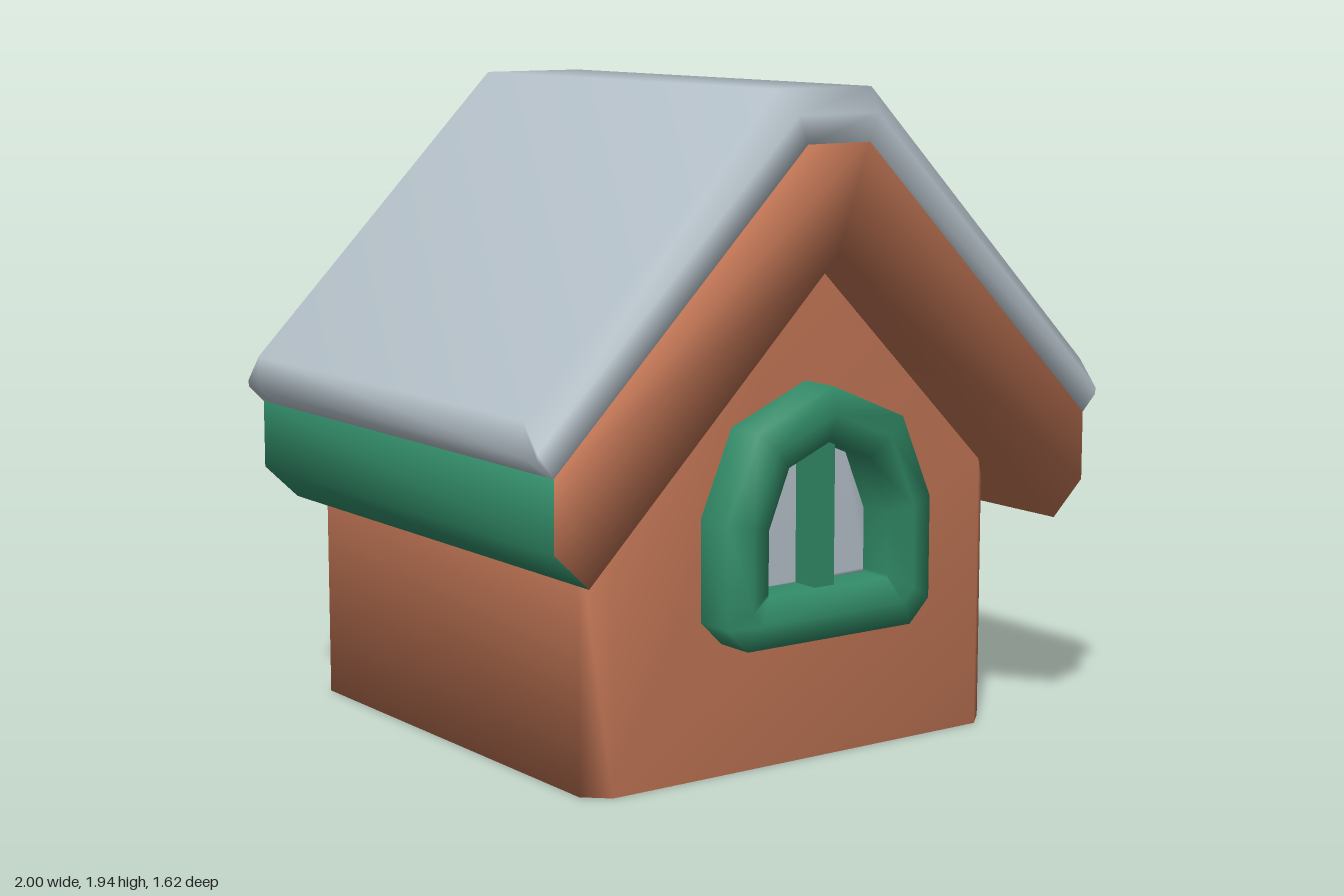
import * as THREE from 'three';

const clay = new THREE.MeshStandardMaterial({ color: 0xbf7454 });
clay.name = 'clay';
const green = new THREE.MeshStandardMaterial({ color: 0x318a67 });
green.name = 'green';
const grey = new THREE.MeshStandardMaterial({ color: 0xb4c0c8 });
grey.name = 'pale grey';

// Skin equal-length loops of [x, y], each given as [z, points], with shared smooth normals.
// Loops run counterclockwise; edges listed in accentEdges use the second material.
function loft(name, sections, materials, { caps = true, accentEdges = [] } = {}) {
  const n = sections[0][1].length;
  const positions = sections.flatMap(([z, pts]) => pts.flatMap(([x, y]) => [x, y, z]));
  const main = [], accent = [];
  for (let i = 0; i < sections.length - 1; i++) {
    for (let j = 0; j < n; j++) {
      const a = i * n + j, b = i * n + (j + 1) % n;
      (accentEdges.includes(j) ? accent : main).push(a, b, b + n, a, b + n, a + n);
    }
  }
  if (caps) {
    const cap = (k, flip) => {
      const contour = sections[k][1].map(([x, y]) => new THREE.Vector2(x, y));
      for (const [a, b, c] of THREE.ShapeUtils.triangulateShape(contour, [])) {
        const o = k * n;
        main.push(o + a, o + (flip ? c : b), o + (flip ? b : c));
      }
    };
    cap(0, true);
    cap(sections.length - 1, false);
  }
  const g = new THREE.BufferGeometry();
  g.setAttribute('position', new THREE.Float32BufferAttribute(positions, 3));
  g.setIndex([...main, ...accent]);
  if (accent.length) {
    g.addGroup(0, main.length, 0);
    g.addGroup(main.length, accent.length, 1);
  }
  g.computeVertexNormals();
  const mesh = new THREE.Mesh(g, materials);
  mesh.name = name;
  return mesh;
}

export function createModel() {
  const house = new THREE.Group();
  house.name = 'house';

  // Gabled walls, chamfered on the front corners
  const gable = (w) => [[-w, 0], [w, 0], [w, 1.48 - w], [0, 1.48], [-w, 1.48 - w]];
  house.add(loft('walls', [[-0.81, gable(0.735)], [0.6, gable(0.735)], [0.665, gable(0.665)]], clay));

  // Thick eaves with green outer edges
  const eaves = [[-0.84, 0.64], [0, 1.48], [0.84, 0.64], [0.95, 0.745], [0.95, 0.95],
    [0.11, 1.79], [-0.11, 1.79], [-0.95, 0.95], [-0.95, 0.745]];
  house.add(loft('eaves', [[-0.81, eaves], [0.81, eaves]], [clay, green], { accentEdges: [2, 3, 7, 8] }));

  // Roof covering, bevelled along both gable ends
  const roof = (edgeY, ridgeX, ridgeY) => [[-0.95, 0.95], [-0.11, 1.79], [0.11, 1.79], [0.95, 0.95], [1, 1],
    [1, edgeY], [ridgeX, ridgeY], [-ridgeX, ridgeY], [-1, edgeY], [-1, 1]];
  const rim = roof(1.02, 0.14, 1.87), full = roof(1.1, 0.17, 1.94);
  house.add(loft('roof', [[-0.81, rim], [-0.74, full], [0.74, full], [0.81, rim]], grey));

  // Arched window: frame ring, glass plate and mullion
  const outer = [[-0.295, 0.385], [0.295, 0.385], [0.365, 0.455], [0.365, 0.755],
    [0.26, 1.0], [0, 1.11], [-0.26, 1.0], [-0.365, 0.755], [-0.365, 0.455]];
  const inner = [[-0.215, 0.53], [0.215, 0.53], [0.216, 0.54], [0.215, 0.72],
    [0.145, 0.89], [0, 0.95], [-0.145, 0.89], [-0.215, 0.72], [-0.216, 0.54]];
  const mid = outer.map(([x, y], i) => [(x + inner[i][0]) / 2, (y + inner[i][1]) / 2]);
  const windowGroup = new THREE.Group();
  windowGroup.name = 'window';
  windowGroup.add(
    loft('windowFrame', [[0.66, outer], [0.79, outer], [0.81, mid], [0.78, inner], [0.66, inner]], green, { caps: false }),
    loft('windowGlass', [[0.664, inner], [0.672, inner]], grey),
  );
  const mullion = new THREE.Mesh(new THREE.BoxGeometry(0.07, 0.43, 0.09), green);
  mullion.name = 'mullion';
  mullion.position.set(0, 0.74, 0.715);
  windowGroup.add(mullion);
  house.add(windowGroup);

  return house;
}
